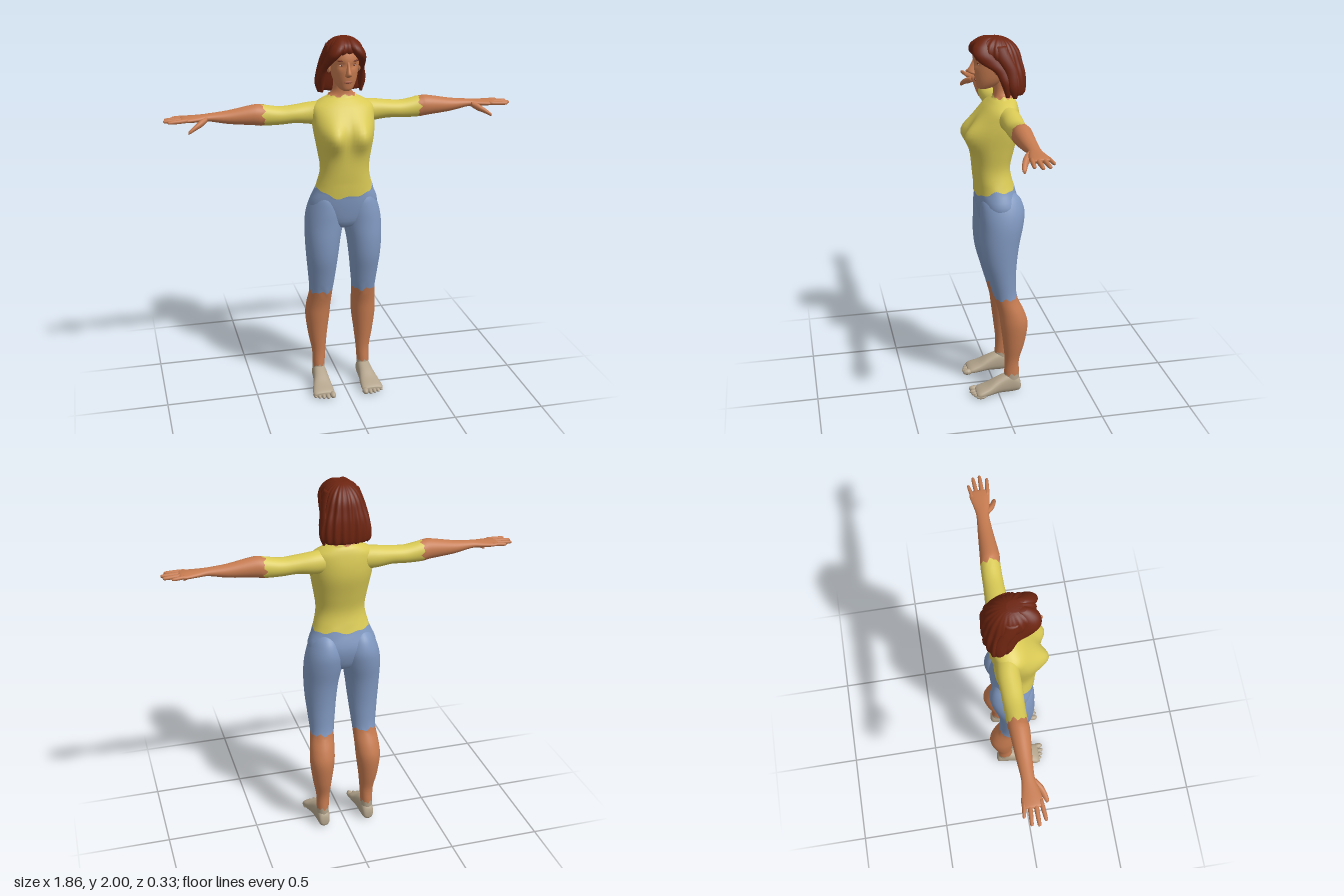
import * as THREE from 'three';

const mat = (name, color) => {
  const m = new THREE.MeshStandardMaterial({ color });
  m.name = name;
  return m;
};
const skin = mat('skin', 0xc67b50), shirt = mat('yellow shirt', 0xd9c955), shorts = mat('blue shorts', 0x8098c0),
  feet = mat('foot beige', 0xb3a48c), hair = mat('auburn hair', 0x6c2410), eyeWhite = mat('eye white', 0xcbb5a2),
  lips = mat('lip colour', 0xa2583f);

// Maps (a, t, b) of a cross-section to x, y, z for each loft axis.
const AXES = {
  x: (a, t, b) => [t, b, a],
  y: (a, t, b) => [a, t, b],
  z: (a, t, b) => [b, a, t],
};

const spline = (p0, p1, p2, p3, s) => {
  const m1 = (p2 - p0) / 2, m2 = (p3 - p1) / 2;
  return (2 * s ** 3 - 3 * s * s + 1) * p1 + (s ** 3 - 2 * s * s + s) * m1
    + (3 * s * s - 2 * s ** 3) * p2 + (s ** 3 - s * s) * m2;
};

// Smooth closed loft. Each row: [position, aMin, aMax, bMin, bMax, material index from here on].
// Rows where the material changes get a ragged hem.
function loft(axis, rows, { seg = 32, steps = 4, power = 2, ragged = 0, hem = null, rule = null } = {}) {
  const pos = [], idx = [], groups = [], put = AXES[axis];
  const last = rows.length - 1, count = last * steps + 1;
  const add = (a, t, b) => {
    const p = put(a, t, b);
    pos.push(...(rule ? rule(...p) : p));
  };
  const curve = c => Math.sign(c) * Math.abs(c) ** (2 / power);
  let mid = [];
  for (let r = 0; r < count; r++) {
    const i = Math.min(Math.floor(r / steps), last - 1), s = r / steps - i;
    const [t, a0, a1, b0, b1] = [0, 1, 2, 3, 4].map(k => spline(
      rows[Math.max(i - 1, 0)][k], rows[i][k], rows[i + 1][k], rows[Math.min(i + 2, last)][k], s));
    const row = r / steps;
    const seam = Number.isInteger(row) && row > 0 && row < last && (rows[row][5] ?? 0) !== (rows[row - 1][5] ?? 0);
    for (let j = 0; j < seg; j++) {
      const q = j / seg * Math.PI * 2;
      let shift = 0;
      if (seam) shift = ragged * (Math.sin(q * 9) + Math.sin(q * 5 + 1)) / 2 + (hem ? hem(t, q) : 0);
      add((a0 + a1) / 2 + (a1 - a0) / 2 * curve(Math.cos(q)), t + shift, (b0 + b1) / 2 + (b1 - b0) / 2 * curve(Math.sin(q)));
    }
    if (r === 0 || r === count - 1) mid.push([(a0 + a1) / 2, t, (b0 + b1) / 2]);
  }
  mid.forEach(m => add(...m));
  const low = count * seg, high = low + 1;
  for (let r = 0; r < count - 1; r++) {
    const start = idx.length;
    for (let j = 0; j < seg; j++) {
      const k = (j + 1) % seg, p = r * seg + j, q = r * seg + k;
      if (r === 0) idx.push(low, p, q);
      idx.push(p, p + seg, q, q, p + seg, q + seg);
      if (r === count - 2) idx.push(high, q + seg, p + seg);
    }
    groups.push([start, idx.length - start, rows[Math.floor(r / steps)][5] ?? 0]);
  }
  const g = new THREE.BufferGeometry();
  g.setAttribute('position', new THREE.Float32BufferAttribute(pos, 3));
  g.setIndex(idx);
  groups.forEach(x => g.addGroup(...x));
  g.computeVertexNormals();
  return g;
}

// Reflected copy with its triangle order turned back outward.
function mirrored(geo) {
  const g = geo.clone().scale(-1, 1, 1), id = g.index.array;
  for (let i = 0; i < id.length; i += 3) [id[i], id[i + 1]] = [id[i + 1], id[i]];
  g.computeVertexNormals();
  return g;
}

const ball = (x, y, z, rx, ry, rz, turn = 0) =>
  new THREE.SphereGeometry(1, 16, 12).scale(rx, ry, rz).rotateZ(turn).translate(x, y, z);
const bump = (d, w) => Math.exp(-((d / w) ** 2));

export function createModel() {
  const model = new THREE.Group();
  model.name = 'woman';
  const part = (name, geo, m) => {
    const mesh = new THREE.Mesh(geo, Array.isArray(m) ? m : [m]);
    if (!Array.isArray(m)) mesh.material = m;
    mesh.name = name;
    model.add(mesh);
    return mesh;
  };
  const pair = (name, geo, m) => {
    part('left ' + name, geo, m);
    part('right ' + name, mirrored(geo), m);
  };
  const even = rows => rows.map(([t, w, ...rest]) => [t, -w, w, ...rest]);

  // Pelvis, torso and neck, with the bust raised from the chest
  part('torso', loft('y', even([
    [0.965, 0.04, -0.06, 0.02, 0], [1.0, 0.12, -0.105, 0.07, 0], [1.1, 0.186, -0.132, 0.093, 0],
    [1.2, 0.154, -0.107, 0.103, 1], [1.3, 0.131, -0.086, 0.114, 1], [1.4, 0.143, -0.105, 0.12, 1],
    [1.5, 0.16, -0.13, 0.118, 1], [1.57, 0.166, -0.134, 0.095, 1], [1.63, 0.162, -0.126, 0.055, 1],
    [1.665, 0.115, -0.115, 0.022, 1], [1.685, 0.072, -0.102, 0.002, 2], [1.72, 0.05, -0.095, 0.0, 2],
    [1.78, 0.05, -0.09, 0.01, 2],
  ]), {
    seg: 56, power: 2.2, ragged: 0.011,
    hem: (t, q) => t < 1.3 ? -0.04 * Math.max(0, Math.sin(q)) ** 2 : 0,
    rule: (x, y, z) => [x, y, z + (z > 0.02 ? 0.055 * bump(Math.abs(x) - 0.078, 0.06) * bump(y - 1.49, 0.075) : 0)],
  }), [shorts, shirt, skin]);

  // Arms with sleeves, running into the palms
  pair('arm', loft('x', [
    [0.1, -0.11, 0.015, 1.53, 1.657, 0], [0.17, -0.115, 0.0, 1.535, 1.652, 0], [0.25, -0.11, 0, 1.545, 1.642, 0],
    [0.33, -0.107, -0.003, 1.541, 1.637, 0], [0.42, -0.105, -0.003, 1.541, 1.652, 1], [0.47, -0.1, 0, 1.548, 1.655, 1],
    [0.6, -0.09, -0.012, 1.562, 1.632, 1], [0.7, -0.082, -0.018, 1.582, 1.622, 1], [0.75, -0.088, -0.008, 1.582, 1.618, 1],
    [0.81, -0.1, 0.003, 1.583, 1.615, 1], [0.837, -0.097, -0.002, 1.589, 1.612, 1], [0.845, -0.08, -0.02, 1.597, 1.607, 1],
  ], { seg: 36, ragged: 0.014 }), [shirt, skin]);

  // Fingers: [tip x, base z, tip z, radius]
  [[0.912, -0.008, 0.002, 0.011], [0.932, -0.034, -0.033, 0.0115], [0.926, -0.061, -0.068, 0.011], [0.886, -0.086, -0.098, 0.0095]]
    .forEach(([tip, z0, z1, r], i) => pair('finger ' + (i + 1), loft('x',
      [[0.81, 1], [0.85, 1], [0.885 - (0.93 - tip) / 2, 0.95], [tip - 0.006, 0.75], [tip, 0.25]].map(([x, k]) => {
        const z = z0 + (z1 - z0) * (x - 0.81) / (tip - 0.81), y = 1.601 - 0.04 * (x - 0.81);
        return [x, z - r * k, z + r * k, y - r * k, y + r * k];
      }), { seg: 12, steps: 2 }), skin));
  pair('thumb', loft('x', [
    [0.71, -0.05, -0.01, 1.585, 1.612], [0.74, -0.028, 0.013, 1.566, 1.604], [0.77, -0.005, 0.026, 1.555, 1.586],
    [0.8, 0.01, 0.033, 1.541, 1.563], [0.813, 0.017, 0.03, 1.536, 1.551],
  ], { seg: 14 }), skin);

  // Legs from ankle to hip
  pair('leg', loft('y', [
    [0.05, 0.097, 0.163, -0.118, -0.04, 0], [0.115, 0.096, 0.164, -0.121, -0.036, 1], [0.2, 0.09, 0.166, -0.12, -0.04, 1],
    [0.3, 0.08, 0.185, -0.147, -0.03, 1], [0.42, 0.065, 0.2, -0.165, -0.015, 1], [0.5, 0.06, 0.196, -0.146, -0.004, 1],
    [0.59, 0.055, 0.186, -0.106, 0.021, 2], [0.7, 0.043, 0.195, -0.1, 0.052, 2], [0.8, 0.032, 0.205, -0.105, 0.079, 2],
    [0.9, 0.019, 0.211, -0.118, 0.09, 2], [1.0, 0.001, 0.21, -0.14, 0.09, 2], [1.08, 0.0, 0.195, -0.148, 0.09, 2],
    [1.15, 0.025, 0.165, -0.125, 0.08, 2], [1.19, 0.06, 0.13, -0.08, 0.04, 2],
  ], { seg: 40, ragged: 0.012 }), [feet, skin, shorts]);

  // Feet and toes
  pair('foot', loft('z', [
    [-0.13, 0.02, 0.05, 0.118, 0.144], [-0.118, 0.006, 0.085, 0.1, 0.16], [-0.07, 0, 0.118, 0.092, 0.167],
    [0, 0.003, 0.095, 0.088, 0.176], [0.06, 0, 0.062, 0.082, 0.192], [0.11, 0, 0.042, 0.08, 0.2], [0.128, 0.006, 0.03, 0.09, 0.188],
  ], { seg: 28, power: 2.4 }), feet);
  [[0.094, 0.132, 0.017], [0.122, 0.133, 0.0125], [0.146, 0.126, 0.012], [0.168, 0.117, 0.0115], [0.189, 0.105, 0.011]]
    .forEach(([x, z, r], i) => pair('toe ' + (i + 1), ball(x, r, z, r, r, 0.028), feet));

  // Head with eye sockets
  const head = part('head', loft('y', even([
    [1.728, 0.016, 0.03, 0.072], [1.738, 0.034, 0.0, 0.085], [1.765, 0.052, -0.05, 0.092], [1.8, 0.064, -0.085, 0.099],
    [1.85, 0.073, -0.11, 0.104], [1.9, 0.076, -0.115, 0.104], [1.95, 0.066, -0.1, 0.085], [1.98, 0.03, -0.05, 0.04],
  ]), {
    seg: 44, power: 2.2,
    rule: (x, y, z) => [x, y, z - (z > 0.04 ? 0.012 * bump(Math.abs(x) - 0.032, 0.018) * bump(y - 1.864, 0.014) : 0)],
  }), skin);
  part('nose', loft('y', even([
    [1.803, 0.007, 0.08, 0.102], [1.812, 0.017, 0.08, 0.124], [1.826, 0.014, 0.08, 0.136],
    [1.855, 0.009, 0.08, 0.119], [1.885, 0.008, 0.08, 0.105],
  ]), { seg: 16 }), skin);
  pair('ear', ball(0.079, 1.845, -0.005, 0.012, 0.033, 0.02), skin);

  // Eyes, brows and lips laid on the face
  const faceZ = (x, y) => new THREE.Raycaster(new THREE.Vector3(x, y, 1), new THREE.Vector3(0, 0, -1))
    .intersectObject(head)[0]?.point.z ?? 0.09;
  const eyeZ = faceZ(0.032, 1.864);
  pair('eye', ball(0.032, 1.864, eyeZ, 0.013, 0.0045, 0.004), eyeWhite);
  pair('iris', ball(0.032, 1.864, eyeZ + 0.003, 0.0045, 0.0042, 0.002), hair);
  pair('eyelid', ball(0.032, 1.869, eyeZ + 0.001, 0.015, 0.0022, 0.0045), hair);
  pair('brow', ball(0.036, 1.888, faceZ(0.036, 1.888), 0.021, 0.004, 0.0045, 0.12), hair);
  part('lips', ball(0, 1.778, faceZ(0, 1.778), 0.022, 0.007, 0.0045), lips);

  // Bobbed hair, grooved into strands
  const strands = (x, y, z) => {
    const q = Math.atan2(z + 0.03, x), k = 1 + 0.028 * Math.sin(q * 22) + 0.015 * Math.sin(q * 13 + y * 12);
    return [x * k, y, (z + 0.03) * k - 0.03];
  };
  part('hair', loft('y', even([
    [1.705, 0.1, -0.14, -0.06], [1.715, 0.122, -0.155, -0.045], [1.76, 0.128, -0.16, -0.035], [1.82, 0.117, -0.157, -0.025],
    [1.87, 0.106, -0.147, 0.02], [1.92, 0.1, -0.133, 0.095], [1.96, 0.084, -0.104, 0.1], [1.985, 0.058, -0.07, 0.072],
    [1.997, 0.03, -0.035, 0.035],
  ]), { seg: 120, power: 2.2, rule: strands }), hair);

  // Parted locks sweeping round the face
  pair('front lock', loft('y', [
    [1.7, 0.098, 0.112, -0.065, -0.045], [1.77, 0.085, 0.127, -0.075, -0.02], [1.83, 0.08, 0.115, -0.06, 0.01],
    [1.875, 0.063, 0.107, -0.03, 0.078], [1.915, 0.03, 0.1, 0.0, 0.115], [1.955, 0.002, 0.08, 0.01, 0.112],
    [1.985, 0.003, 0.052, 0.01, 0.078], [1.997, 0.01, 0.035, 0.01, 0.05],
  ], { seg: 24 }), hair);
  pair('side lock', loft('y', [
    [1.695, 0.108, 0.12, -0.1, -0.08], [1.75, 0.095, 0.136, -0.115, -0.055], [1.83, 0.085, 0.124, -0.11, -0.04],
    [1.9, 0.07, 0.11, -0.08, 0.0], [1.96, 0.03, 0.09, -0.06, 0.02],
  ], { seg: 20 }), hair);
  return model;
}
